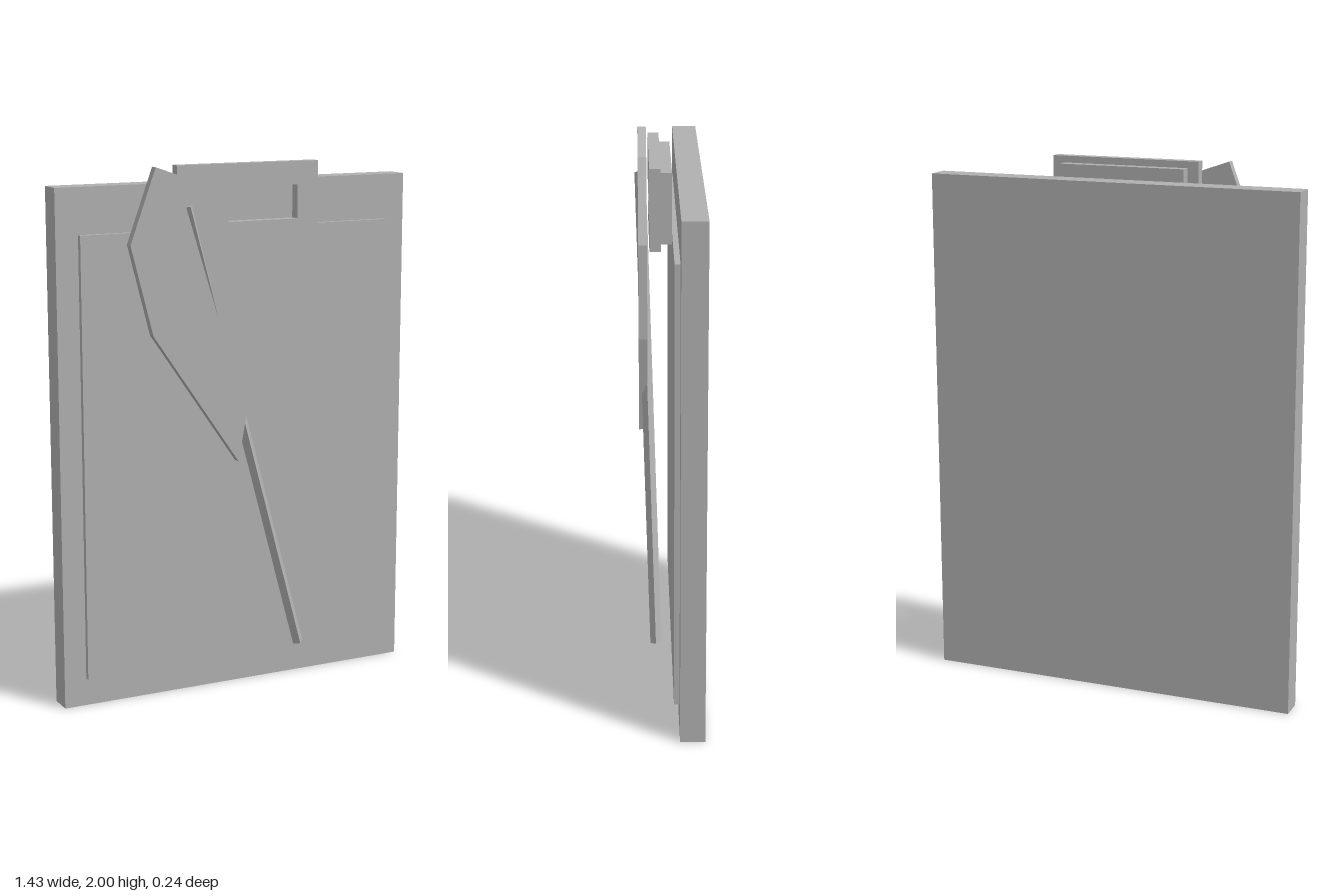
import * as THREE from 'three';

export function createModel() {
  const model = new THREE.Group();
  const grey = new THREE.MeshStandardMaterial({ color: 0xb0b0b0 });
  grey.name = 'grey';

  const add = (name, geometry) => {
    const mesh = new THREE.Mesh(geometry, grey);
    mesh.name = name;
    model.add(mesh);
    return mesh;
  };

  // Box given by half width, y range and z range
  const slab = (name, halfWidth, y0, y1, z0, z1) =>
    add(name, new THREE.BoxGeometry(2 * halfWidth, y1 - y0, z1 - z0))
      .position.set(0, (y0 + y1) / 2, (z0 + z1) / 2);

  // Flat outline with optional hole, extruded between two z values
  const points = (list) => list.map(([x, y]) => new THREE.Vector2(x, y));
  const plate = (name, outline, z0, z1, hole) => {
    const shape = new THREE.Shape(points(outline));
    if (hole) shape.holes.push(new THREE.Path(points(hole)));
    const geometry = new THREE.ExtrudeGeometry(shape, { depth: z1 - z0, bevelEnabled: false });
    add(name, geometry.translate(0, 0, z0));
  };
  const rectangle = (w, y0, y1) => [[-w, y0], [w, y0], [w, y1], [-w, y1]];

  // Board with its sheet of paper
  slab('board', 0.713, 0, 1.93, -0.121, -0.03);
  slab('paper', 0.627, 0.105, 1.76, -0.03, -0.01);

  // Clip: solid base and slotted front plate
  slab('clipBase', 0.243, 1.72, 1.975, -0.01, 0.03);
  plate('clipPlate', rectangle(0.285, 1.705, 2), 0.03, 0.07, rectangle(0.2, 1.79, 1.915));

  // Feather blade
  plate('featherBlade', [
    [-0.385, 2], [-0.485, 1.73], [-0.4, 1.4], [-0.06, 0.905],
    [0.01, 1.29], [-0.005, 1.645], [-0.185, 1.93],
  ], 0.076, 0.108);

  // Four-sided quill, leaning forward through the blade
  const bottom = new THREE.Vector3(0.225, 0.143, 0.05);
  const top = new THREE.Vector3(-0.257, 1.858, 0.099);
  const direction = top.clone().sub(bottom);
  const rod = new THREE.CylinderGeometry(0.021, 0.021, direction.length(), 4).toNonIndexed();
  rod.computeVertexNormals();
  const quill = add('quill', rod);
  quill.position.copy(bottom).add(top).multiplyScalar(0.5);
  quill.quaternion.setFromUnitVectors(new THREE.Vector3(0, 1, 0), direction.normalize());

  return model;
}
